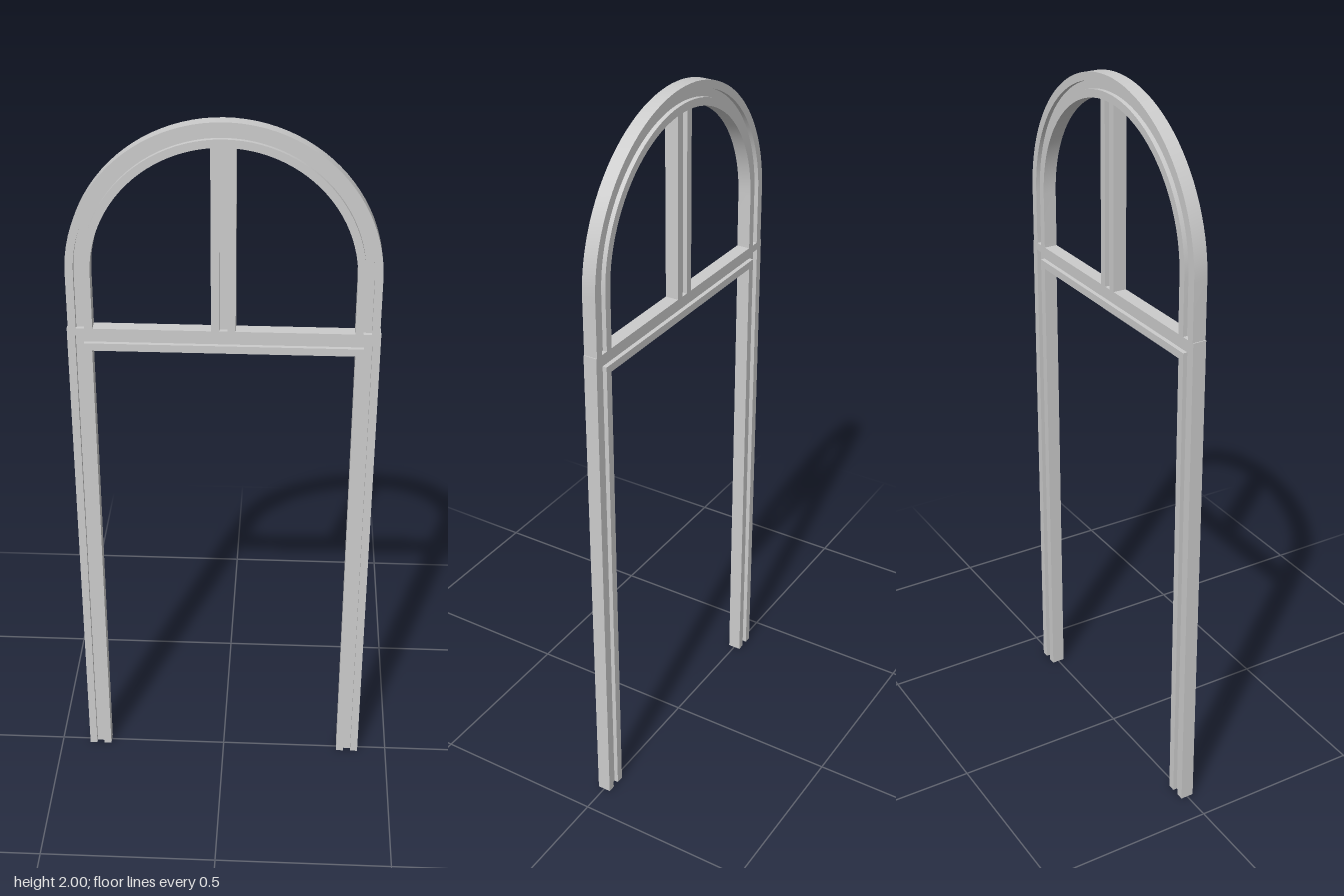
import * as THREE from 'three';
import { toCreasedNormals } from 'three/addons/utils/BufferGeometryUtils.js';

const W = 0.0325;      // half width of the moulding
const D = 0.019;       // half depth
const G = 0.011;       // half width of the grooves
const B = 0.007;       // half depth at the groove floor

// H-shaped section with a groove in front and back, counter-clockwise (offset, z)
const section = [
  [-W, -D], [-G, -D], [-G, -B], [G, -B], [G, -D], [W, -D],
  [W, D], [G, D], [G, B], [-G, B], [-G, D], [-W, D],
].map(([x, y]) => new THREE.Vector2(x, y));

// Sweeps the section along a path in the xy plane, with mitred corners and end caps
function sweep(path) {
  const pts = path.map(([x, y]) => new THREE.Vector2(x, y));
  const leftOf = (a, b) => {
    const d = b.clone().sub(a).normalize();
    return new THREE.Vector2(-d.y, d.x);
  };
  const rings = pts.map((p, i) => {
    const n1 = leftOf(pts[Math.max(i - 1, 0)], pts[Math.max(i, 1)]);
    const n2 = i < pts.length - 1 ? leftOf(p, pts[i + 1]) : n1;
    const n = n1.clone().add(n2).divideScalar(1 + n1.dot(n2));
    return section.map((s) => [p.x + n.x * s.x, p.y + n.y * s.x, s.y]);
  });

  const pos = [];
  const tri = (a, b, c) => pos.push(...a, ...b, ...c);
  for (let i = 0; i < rings.length - 1; i++) {
    const r = rings[i], q = rings[i + 1];
    section.forEach((_, j) => {
      const k = (j + 1) % section.length;
      tri(r[j], r[k], q[k]);
      tri(r[j], q[k], q[j]);
    });
  }
  const first = rings[0], last = rings[rings.length - 1];
  for (const [a, b, c] of THREE.ShapeUtils.triangulateShape(section, [])) {
    tri(first[c], first[b], first[a]);
    tri(last[a], last[b], last[c]);
  }
  const geometry = new THREE.BufferGeometry();
  geometry.setAttribute('position', new THREE.Float32BufferAttribute(pos, 3));
  return toCreasedNormals(geometry, Math.PI / 6);
}

export function createModel() {
  const group = new THREE.Group();
  const material = new THREE.MeshStandardMaterial({ color: 0xcccccc });
  const add = (name, path) => {
    const mesh = new THREE.Mesh(sweep(path), material);
    mesh.name = name;
    group.add(mesh);
  };

  // Door frame: two jambs and the head rail, mitred at the corners
  const x = 0.414 - W, railY = 1.4, railTop = railY + W;
  add('doorFrame', [[x, 0], [x, railY], [-x, railY], [-x, 0]]);

  // Arched fanlight frame: short legs and a semicircle
  const r = 0.411 - W, springY = 2 - 0.411, steps = 48;
  const arch = [[r, railTop]];
  for (let i = 0; i <= steps; i++) {
    const a = (Math.PI * i) / steps;
    arch.push([r * Math.cos(a), springY + r * Math.sin(a)]);
  }
  arch.push([-r, railTop]);
  add('archFrame', arch);

  // Central upright of the fanlight
  add('mullion', [[0, railTop], [0, 1.938]]);

  return group;
}
